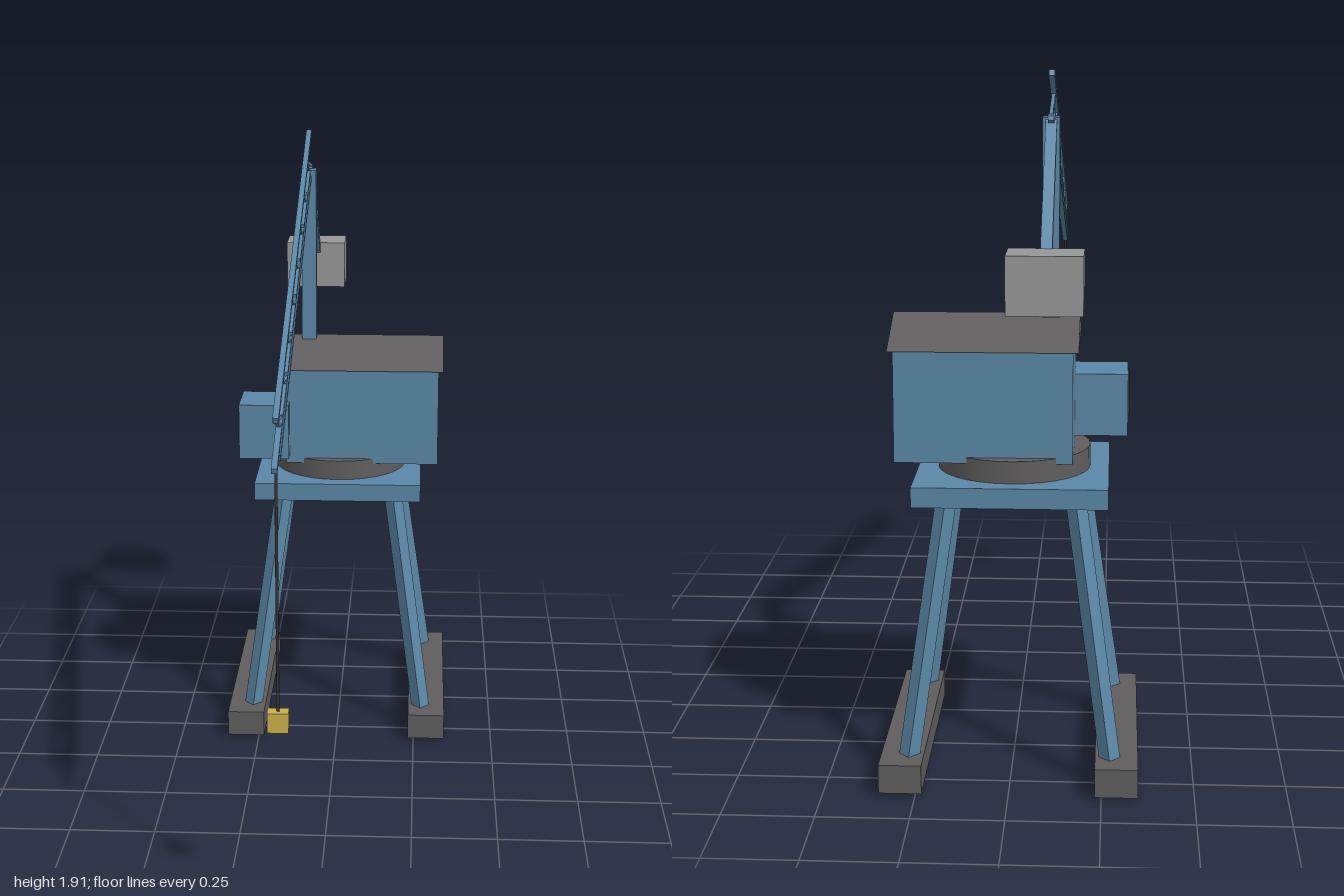
import * as THREE from 'three';

const mat = (name, color) => {
  const m = new THREE.MeshStandardMaterial({ color });
  m.name = name;
  return m;
};

export function createModel() {
  const blue = mat('steel blue', 0x5b87a6);
  const dark = mat('dark grey', 0x5f5d5d);
  const grey = mat('light grey', 0x979797);
  const yellow = mat('hook yellow', 0xcab04c);
  const black = mat('cable black', 0x383634);

  const model = new THREE.Group();
  model.name = 'harbourCrane';
  const CZ = -0.51; // turning axis
  const MX = -0.1;  // mast, boom and counterweight plane

  const add = (name, geometry, material, parent = model) => {
    const mesh = new THREE.Mesh(geometry, material);
    mesh.name = name;
    parent.add(mesh);
    return mesh;
  };
  // box given by its lower and upper limits
  const box = (name, material, [x0, y0, z0], [x1, y1, z1]) => {
    const mesh = add(name, new THREE.BoxGeometry(x1 - x0, y1 - y0, z1 - z0), material);
    mesh.position.set((x0 + x1) / 2, (y0 + y1) / 2, (z0 + z1) / 2);
    return mesh;
  };
  // square bar between two points
  const bar = (name, material, a, b, width, parent = model) => {
    const A = new THREE.Vector3(...a), B = new THREE.Vector3(...b);
    const mesh = add(name, new THREE.BoxGeometry(width, width, A.distanceTo(B)), material, parent);
    mesh.position.copy(A).add(B).multiplyScalar(0.5);
    mesh.lookAt(B);
    return mesh;
  };

  // Ground rails and splayed legs
  for (const sx of [-1, 1]) {
    box('groundRail', dark, [sx * 0.29 - 0.058, 0.01, CZ - 0.356], [sx * 0.29 + 0.058, 0.09, CZ + 0.356]);
    for (const sz of [-1, 1]) {
      bar('leg', blue, [sx * 0.283, 0.005, CZ + sz * 0.283], [sx * 0.172, 0.8, CZ + sz * 0.172], 0.04);
    }
  }

  // Platform and turntable
  box('platform', blue, [-0.262, 0.78, CZ - 0.26], [0.262, 0.835, CZ + 0.26]);
  add('turntable', new THREE.CylinderGeometry(0.21, 0.21, 0.062, 32), dark).position.set(0, 0.865, CZ);

  // Machine house with gabled roof
  box('machineHouse', blue, [-0.165, 0.88, CZ - 0.172], [0.315, 1.185, CZ + 0.178]);
  const gable = new THREE.Shape([
    new THREE.Vector2(-0.185, 0), new THREE.Vector2(0.185, 0), new THREE.Vector2(0, 0.075),
  ]);
  const roof = add('roof', new THREE.ExtrudeGeometry(gable, { depth: 0.51, bevelEnabled: false }), dark);
  roof.rotation.y = Math.PI / 2;
  roof.position.set(-0.18, 1.185, CZ + 0.003);

  // Operator cab with side window
  box('cab', blue, [-0.312, 0.905, -0.458], [-0.155, 1.08, -0.288]);
  box('cabWindow', black, [-0.316, 0.965, -0.443], [-0.311, 1.06, -0.303]);

  // Mast, counterweight arm and counterweight
  box('mast', blue, [MX - 0.023, 1.2, -0.529], [MX + 0.023, 1.79, -0.482]);
  bar('counterweightArm', blue, [MX, 1.78, -0.51], [MX, 1.44, -0.91], 0.03);
  box('counterweight', grey, [MX - 0.097, 1.34, -1], [MX + 0.097, 1.49, -0.867]);

  // Lattice boom: three chords lying in one plane, with paired braces
  const boom = new THREE.Group();
  boom.name = 'boom';
  model.add(boom);
  const N = 8, runZ = -1.445, runY = 0.528;
  const starts = { top: [0.937, 1.378], front: [0.997, 1.265], rear: [0.883, 1.265] };
  const at = (chord, i) => [MX, starts[chord][1] + runY * i / N, starts[chord][0] + runZ * i / N];
  for (const chord of Object.keys(starts)) {
    bar(chord + 'Chord', blue, at(chord, 0), at(chord, N), 0.016, boom);
  }
  for (let i = 0; i < N; i++) {
    bar('brace', blue, at('top', i), at('front', i + 1), 0.01, boom);
    bar('brace', blue, at('top', i), at('rear', i + 1), 0.01, boom);
  }

  // Hoist cable and hook block
  add('hoistCable', new THREE.CylinderGeometry(0.004, 0.004, 0.69, 8), black).position.set(MX, 0.925, 0.942);
  box('hookBlock', yellow, [MX - 0.028, 0.54, 0.923], [MX + 0.028, 0.595, 0.961]);

  return model;
}
